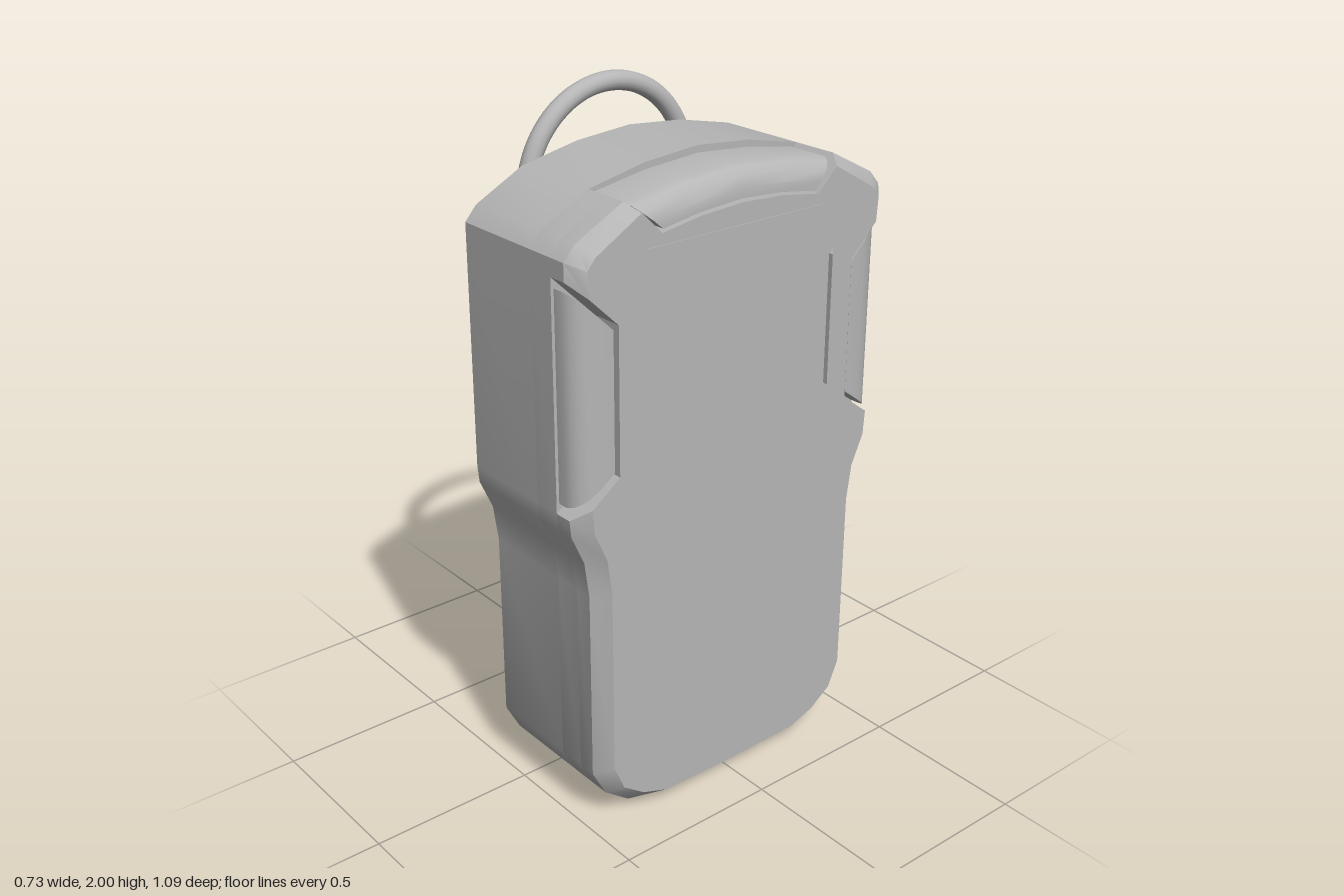
import * as THREE from 'three';
import { toCreasedNormals } from 'three/addons/utils/BufferGeometryUtils.js';

// Cross-sections are [u, y] points, counter-clockwise seen from +x, with u = -z.
const mirror = (half) => [
  ...half,
  ...half.slice().reverse().filter((p) => p[0] !== 0).map((p) => p.map((v, i) => (i % 2 ? v : -v))),
];

// Joins equal-length cross-sections along x; caps may hold a hole.
function loft(rings, { start = false, end = false, hole = null } = {}) {
  const pos = [];
  const put = (x, p) => pos.push(x, p[1], -p[0]);
  for (let r = 0; r + 1 < rings.length; r++) {
    const [xa, a] = rings[r], [xb, b] = rings[r + 1];
    a.forEach((_, i) => {
      const j = (i + 1) % a.length;
      put(xa, a[i]); put(xa, a[j]); put(xb, b[j]);
      put(xa, a[i]); put(xb, b[j]); put(xb, b[i]);
    });
  }
  const cap = ([x, ring], flip, inner) => {
    const v = (l) => l.map((p) => new THREE.Vector2(p[0], p[1]));
    const holes = inner ? [v(inner.slice().reverse())] : [];
    const all = [v(ring), ...holes].flat();
    for (const f of THREE.ShapeUtils.triangulateShape(v(ring), holes)) {
      const [a, b, c] = f.map((i) => all[i]);
      const ccw = (b.x - a.x) * (c.y - a.y) - (b.y - a.y) * (c.x - a.x) > 0;
      (ccw !== flip ? [a, b, c] : [a, c, b]).forEach((p) => put(x, [p.x, p.y]));
    }
  };
  if (start) cap(rings[0], true, null);
  if (end) cap(rings[rings.length - 1], false, hole);
  const g = new THREE.BufferGeometry();
  g.setAttribute('position', new THREE.Float32BufferAttribute(pos, 3));
  return toCreasedNormals(g, 0.55);
}

// Side profile in (x, y) pulled along z
function slab(points, z0, z1) {
  const shape = new THREE.Shape(points.map((p) => new THREE.Vector2(...p)));
  const g = new THREE.ExtrudeGeometry(shape, { depth: z1 - z0, bevelEnabled: false });
  return g.translate(0, 0, z0);
}

export function createModel() {
  const model = new THREE.Group();
  model.name = 'portableDetector';
  const grey = new THREE.MeshStandardMaterial({ color: 0xb6b6b6 });
  grey.name = 'casing grey';
  const add = (name, geometry) => {
    const m = new THREE.Mesh(geometry, grey);
    m.name = name;
    model.add(m);
    return m;
  };

  // Half outline: [outer u, outer y, bevelled u, bevelled y]
  const lower = [
    [0, 0, 0, 0.035], [0.26, 0.01, 0.25, 0.04], [0.36, 0.035, 0.335, 0.07], [0.44, 0.095, 0.405, 0.12],
    [0.485, 0.18, 0.44, 0.2], [0.485, 0.75, 0.44, 0.76], [0.5, 0.86, 0.455, 0.87], [0.54, 0.95, 0.495, 0.96],
  ];
  const sidePlain = [[0.545, 1, 0.5, 1.033], [0.545, 1.65, 0.5, 1.607]];
  const sideNotch = [sidePlain[0], [0.41, 1.1, 0.41, 1.1], [0.41, 1.52, 0.41, 1.52], sidePlain[1]];
  const shoulder = [[0.545, 1.7, 0.505, 1.68], [0.51, 1.74, 0.48, 1.71], [0.36, 1.818, 0.335, 1.794]];
  const topPlain = [[0.18, 1.855, 0.175, 1.815], [0, 1.87, 0, 1.83]];
  const topNotch = [[0.27, 1.73, 0.27, 1.73], [0.14, 1.75, 0.14, 1.75], [0, 1.758, 0, 1.758]];
  const outer = (l) => l.map((p) => [p[0], p[1]]);
  const inner = (l) => l.map((p) => [p[2], p[3]]);

  // Casing in three layers, so the lid and grips sit in real notches
  const back = mirror([...lower, ...sidePlain, ...shoulder, ...topPlain]);
  const middle = mirror([...lower, ...sidePlain, ...shoulder, ...topNotch]);
  const front = mirror([...lower, ...sideNotch, ...shoulder, ...topNotch]);
  const screenRim = mirror([[0, 1], [0.15, 1.015], [0.26, 1.05], [0.335, 1.095], [0.335, 1.68], [0.318, 1.7], [0, 1.7]]);
  const screenFloor = mirror([[0, 1.02], [0.145, 1.034], [0.25, 1.066], [0.325, 1.11], [0.325, 1.674], [0.312, 1.69], [0, 1.69]]);
  add('casingBack', loft([[-0.147, inner(back)], [-0.105, outer(back)], [0.18, outer(back)]], { start: true, end: true }));
  add('casingMiddle', loft([[0.18, outer(middle)], [0.265, outer(middle)]], { end: true }));
  add('casingFront', loft([[0.265, outer(front)], [0.32, outer(front)], [0.362, inner(front)]], { end: true, hole: screenRim }));

  // Sunken screen: sloped rim and flat floor
  add('screenRim', loft([[0.362, screenRim.slice().reverse()], [0.343, screenFloor.slice().reverse()]]));
  add('screen', loft([[0.34, screenFloor], [0.343, screenFloor]], { end: true }));

  // Side grips with a rounded outer edge
  const gripRing = (w) => {
    const t = (w - 0.42) / 0.135;
    return [[0.42, 1.113], [w, 1.113 - 0.1 * t], [w, 1.507 + 0.13 * t], [0.42, 1.507]];
  };
  const gripSteps = [[0.26, 0.536], [0.295, 0.536], [0.315, 0.53], [0.332, 0.517], [0.345, 0.497], [0.353, 0.465]];
  const rightward = gripSteps.map(([x, w]) => [x, gripRing(w)]);
  const leftward = rightward.map(([x, r]) => [x, r.map(([u, y]) => [-u, y]).reverse()]);
  add('rightGrip', loft(rightward, { end: true }));
  add('leftGrip', loft(leftward, { end: true }));

  // Top lid, rounding down to the face
  const lidFloor = [[0.262, 1.738], [0.14, 1.757], [0, 1.766]];
  const lidTop = [[0.343, 1.808], [0.18, 1.836], [0, 1.85]];
  const lidRing = (t) => {
    const top = lidTop.map((p, i) => p.map((v, k) => v + (lidFloor[i][k] - v) * t));
    const mid = lidFloor.slice().reverse();
    return mirror([...mid, ...top]);
  };
  add('topLid', loft([[0.18, 0], [0.305, 0], [0.325, 0.1], [0.342, 0.32], [0.355, 0.65]].map(([x, t]) => [x, lidRing(t)]), { end: true }));

  // Clip bracket: back plate with two ears
  add('bracketPlate', slab([[-0.14, 1.14], [-0.14, 1.7], [-0.16, 1.7], [-0.16, 1.14]], -0.24, 0.24));
  const ear = [
    [-0.15, 1.14], [-0.15, 1.7], [-0.24, 1.7], [-0.24, 1.61], [-0.31, 1.61],
    [-0.31, 1.51], [-0.225, 1.51], [-0.17, 1.455], [-0.17, 1.14],
  ];
  add('rearEar', slab(ear, -0.24, -0.205));
  add('frontEar', slab(ear, 0.205, 0.24));

  // Spring clip lever and its hinge pin
  add('clipLever', slab([
    [-0.365, 1.53], [-0.345, 1.565], [-0.31, 1.57], [-0.22, 1.575], [-0.22, 1.535], [-0.305, 1.525],
    [-0.315, 1.5], [-0.255, 1.07], [-0.285, 1.075], [-0.3, 1.09],
  ].reverse(), -0.193, 0.193));
  const pin = add('hingePin', new THREE.CylinderGeometry(0.022, 0.022, 0.46, 16).rotateX(Math.PI / 2));
  pin.position.set(-0.265, 1.555, 0);

  // Carrying loop: half circle with ends turned in through the ears
  const path = [[0.18, 1.63], [0.225, 1.63], [0.262, 1.645]];
  for (let i = 0; i <= 12; i++) {
    const a = (i / 12) * Math.PI;
    path.push([0.282 * Math.cos(a), 1.69 + 0.282 * Math.sin(a)]);
  }
  path.push([-0.262, 1.645], [-0.225, 1.63], [-0.18, 1.63]);
  const curve = new THREE.CatmullRomCurve3(path.map(([z, y]) => new THREE.Vector3(-0.204, y, z)));
  add('carryLoop', new THREE.TubeGeometry(curve, 72, 0.028, 14));
  for (const s of [-1, 1]) {
    const end = add(s < 0 ? 'rearLoopEnd' : 'frontLoopEnd', new THREE.CylinderGeometry(0.028, 0.028, 0.01, 14).rotateX(Math.PI / 2));
    end.position.set(-0.204, 1.63, s * 0.18);
  }
  return model;
}
